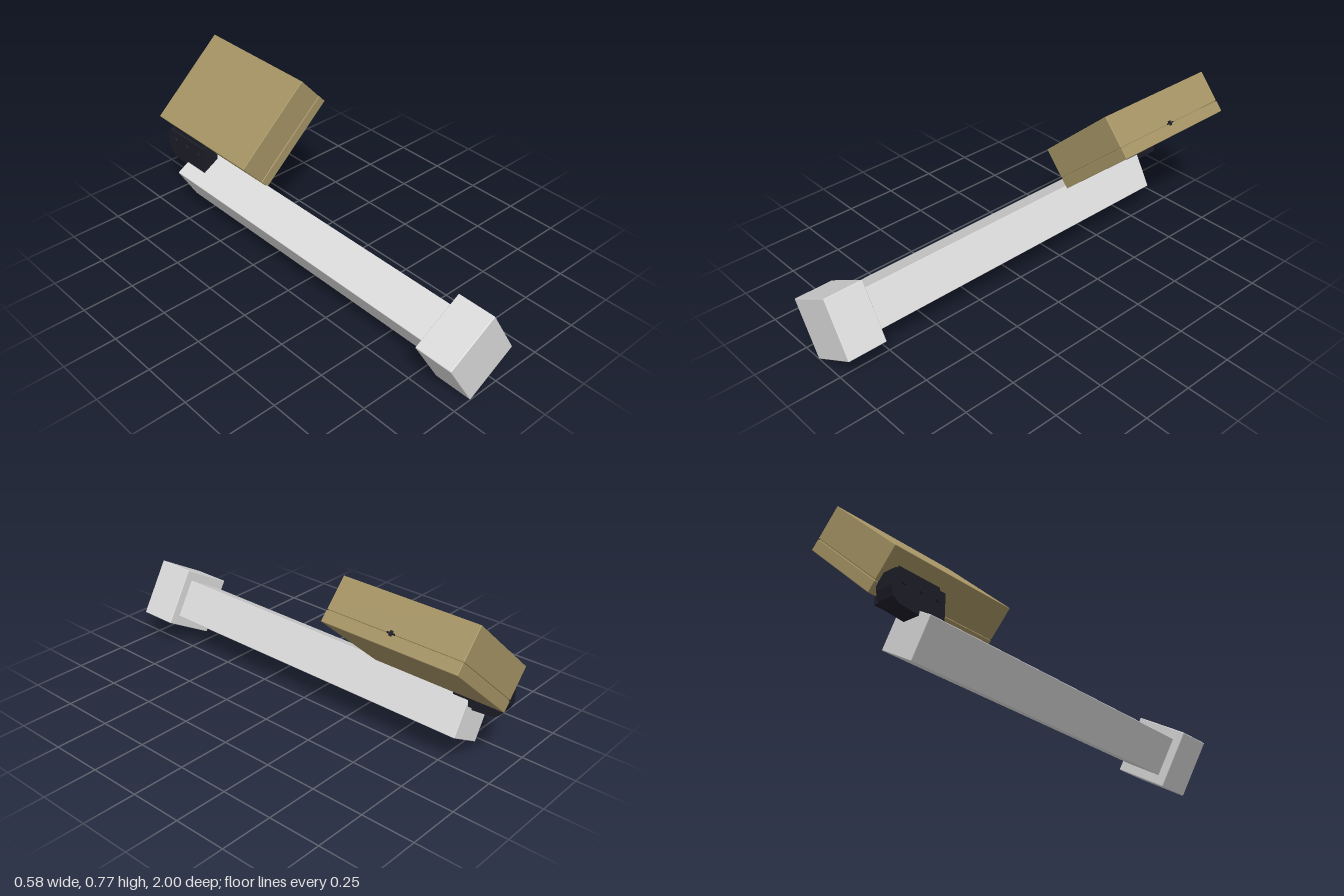
import * as THREE from 'three';
import { RoundedBoxGeometry } from 'three/addons/geometries/RoundedBoxGeometry.js';

const paleGrey = new THREE.MeshStandardMaterial({ name: 'pale grey', color: 0xdadada });
const tan = new THREE.MeshStandardMaterial({ name: 'tan', color: 0xa39263 });
const black = new THREE.MeshStandardMaterial({ name: 'blue black', color: 0x1d1d27 });

function box(parent, name, mat, size, pos, bevel = 0) {
  const geo = bevel ? new RoundedBoxGeometry(...size, 2, bevel) : new THREE.BoxGeometry(...size);
  const mesh = new THREE.Mesh(geo, mat);
  mesh.name = name;
  mesh.position.set(...pos);
  parent.add(mesh);
  return mesh;
}

export function createModel() {
  const model = new THREE.Group();

  // Square beam with a wider block on its front end, rolled 30 degrees
  const beam = new THREE.Group();
  beam.name = 'beam';
  beam.position.set(-0.105, 0.191, 0);
  beam.rotation.z = Math.PI / 6;
  model.add(beam);
  box(beam, 'beamShaft', paleGrey, [0.187, 0.187, 1.67], [0, 0, 0], 0.003);
  beam.getObjectByName('beamShaft').position.z = 0;
  box(beam, 'endBlock', paleGrey, [0.276, 0.276, 0.187], [0, 0, 0.9065], 0.004);

  // Case: deep shell and shallow lid with a thin seam between them
  const caseGroup = new THREE.Group();
  caseGroup.name = 'case';
  caseGroup.position.set(0.045, 0.541, -0.676);
  caseGroup.rotation.z = THREE.MathUtils.degToRad(41.7);
  model.add(caseGroup);
  box(caseGroup, 'caseShell', tan, [0.478, 0.15, 0.648], [0, 0.0275, 0], 0.003);
  box(caseGroup, 'caseLid', tan, [0.48, 0.052, 0.648], [0, -0.0765, 0], 0.003);
  box(caseGroup, 'seam', tan, [0.468, 0.02, 0.638], [0, -0.049, 0]);

  // Small latch on the upper end of the case
  box(caseGroup, 'latchPlate', black, [0.01, 0.022, 0.012], [0.241, -0.046, 0.005]);
  box(caseGroup, 'latchBar', black, [0.014, 0.006, 0.034], [0.242, -0.046, 0.005]);

  // Dark bracket between case and beam, with a chamfered rear underside
  const mount = new THREE.Group();
  mount.name = 'mount';
  model.add(mount);
  const profile = new THREE.Shape([
    [0.7, 0.25], [0.835, 0.24], [0.94, 0.249], [0.968, 0.27],
    [0.982, 0.31], [0.982, 0.375], [0.965, 0.39], [0.7, 0.39],
  ].map(([a, b]) => new THREE.Vector2(a, b)));
  const bodyGeo = new THREE.ExtrudeGeometry(profile, { depth: 0.082, bevelEnabled: false });
  bodyGeo.rotateY(Math.PI / 2);
  const body = new THREE.Mesh(bodyGeo, black);
  body.name = 'mountBody';
  body.position.x = -0.172;
  mount.add(body);
  box(mount, 'mountNeck', black, [0.07, 0.05, 0.22], [-0.125, 0.39, -0.83]);
  box(mount, 'mountInner', black, [0.05, 0.09, 0.2], [-0.085, 0.315, -0.86]);

  // Row of knobs on the outer side of the bracket
  for (const z of [-0.74, -0.83, -0.92]) {
    const knob = new THREE.Mesh(new THREE.CylinderGeometry(0.012, 0.012, 0.014, 12), black);
    knob.name = 'knob';
    knob.rotation.z = Math.PI / 2;
    knob.position.set(-0.173, 0.345, z);
    mount.add(knob);
  }

  return model;
}
